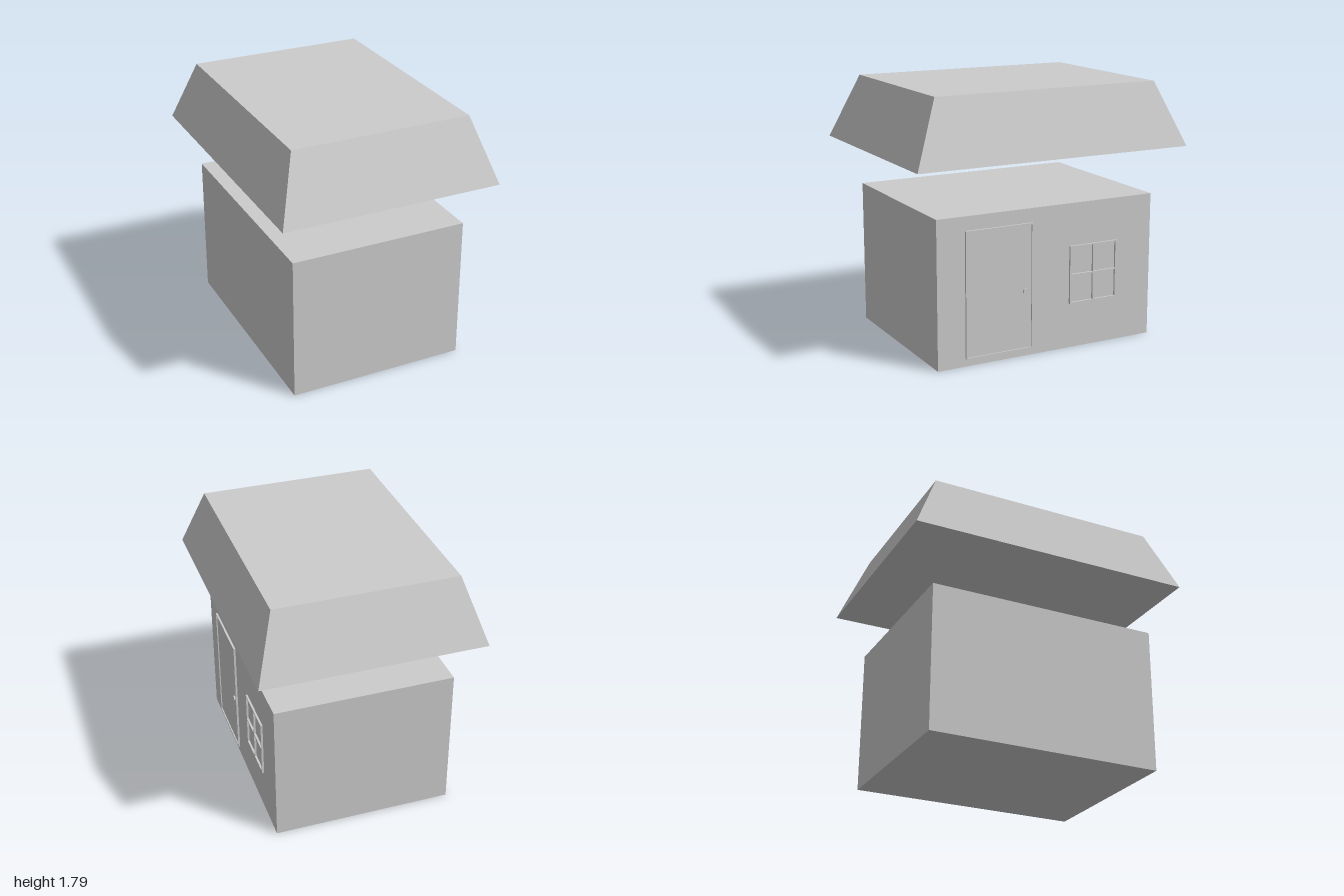
import * as THREE from 'three';

const WALL_X = 0.622;

export function createModel() {
  const house = new THREE.Group();
  house.name = 'house';
  const material = new THREE.MeshStandardMaterial({ color: 0xcccccc, flatShading: true });

  const add = (name, geometry, x, y, z) => {
    const mesh = new THREE.Mesh(geometry, material);
    mesh.name = name;
    mesh.position.set(x, y, z);
    house.add(mesh);
    return mesh;
  };

  // Rectangle path given by its lower corner and size
  const rect = (path, x, y, w, h) => path
    .moveTo(x, y).lineTo(x + w, y).lineTo(x + w, y + h).lineTo(x, y + h).closePath();

  // Frame on the +x wall, with a grid of openings separated by thin bars
  const addFrame = (name, y, z, w, h, columns, rows, border, depth) => {
    const shape = rect(new THREE.Shape(), -w / 2, -h / 2, w, h);
    const openW = (w - border * (columns + 1)) / columns;
    const openH = (h - border * (rows + 1)) / rows;
    for (let i = 0; i < columns; i++) {
      for (let j = 0; j < rows; j++) {
        shape.holes.push(rect(new THREE.Path(),
          -w / 2 + border + i * (openW + border),
          -h / 2 + border + j * (openH + border), openW, openH));
      }
    }
    const geometry = new THREE.ExtrudeGeometry(shape, { depth, bevelEnabled: false });
    geometry.rotateY(Math.PI / 2);
    add(name, geometry, WALL_X, y, z);
  };

  // Walls
  add('walls', new THREE.BoxGeometry(WALL_X * 2, 1.012, 1.63), 0, 0.506, 0);

  // Floating roof: a box whose top is drawn in to the size of the walls
  const roof = new THREE.BoxGeometry(1.53, 0.44, 2);
  const p = roof.attributes.position;
  for (let i = 0; i < p.count; i++) {
    if (p.getY(i) > 0) {
      p.setX(i, Math.sign(p.getX(i)) * WALL_X);
      p.setZ(i, Math.sign(p.getZ(i)) * 0.815);
    }
  }
  roof.computeVertexNormals();
  add('roof', roof, 0, 1.57, 0);

  // Door with its surround and knob
  addFrame('doorFrame', 0.482, 0.366, 0.497, 0.867, 1, 1, 0.011, 0.014);
  add('doorPanel', new THREE.BoxGeometry(0.006, 0.845, 0.475), WALL_X + 0.003, 0.482, 0.366);
  const knob = new THREE.CylinderGeometry(0.02, 0.02, 0.018, 24);
  knob.rotateZ(-Math.PI / 2);
  add('doorKnob', knob, WALL_X + 0.009, 0.452, 0.173);

  // Window frame with four openings
  addFrame('windowFrame', 0.515, -0.351, 0.369, 0.405, 2, 2, 0.01, 0.014);

  return house;
}
